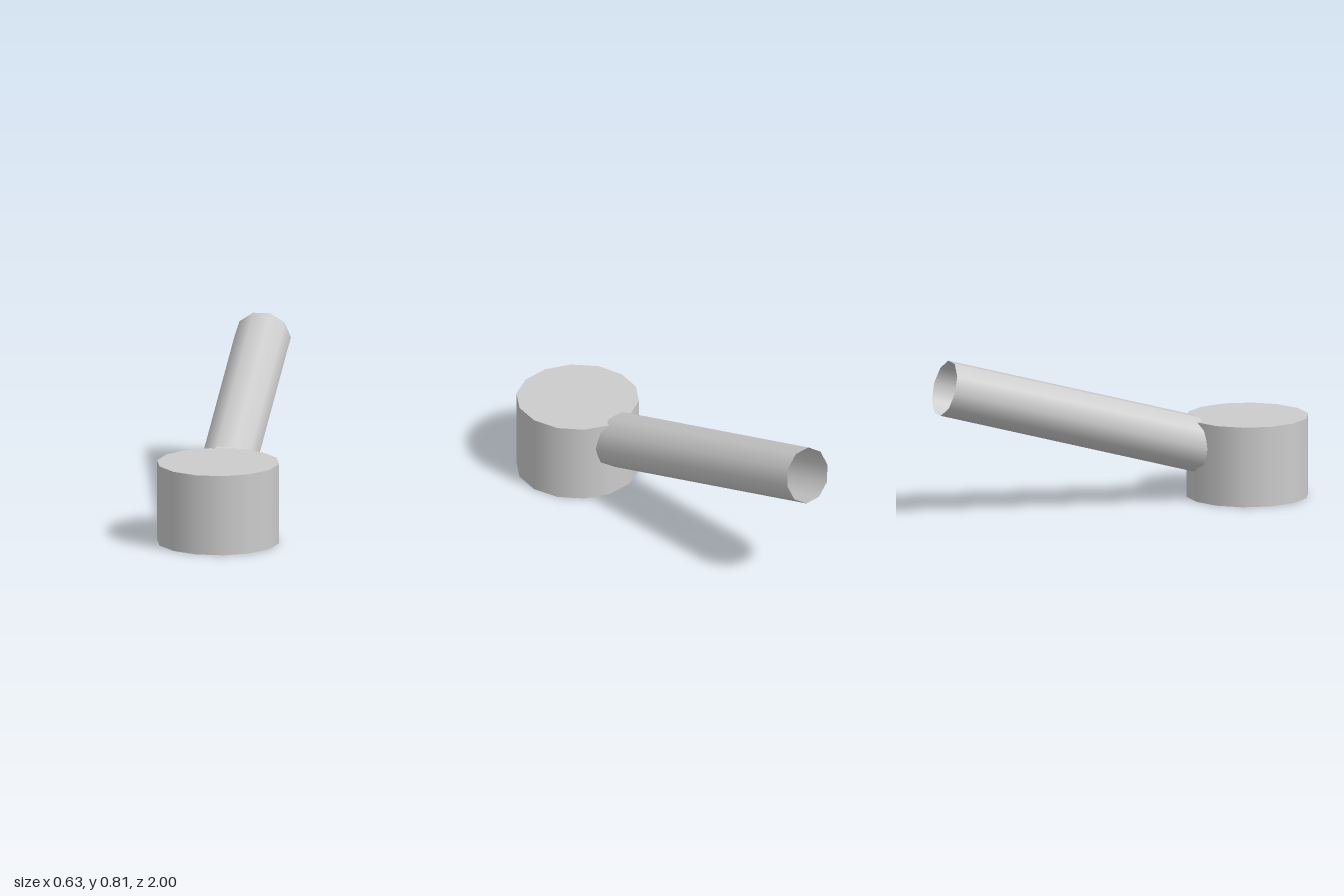
import * as THREE from 'three';

export function createModel() {
  const group = new THREE.Group();
  const grey = new THREE.MeshStandardMaterial({ color: 0xcccccc });
  grey.name = 'lightGrey';
  grey.side = THREE.DoubleSide;

  // Closed drum, 14 sides, with corners on the x axis
  const height = 0.413;
  const potGeometry = new THREE.CylinderGeometry(0.313, 0.313, height, 14, 1, false, Math.PI / 2);
  potGeometry.translate(0, height / 2, 0.695);
  const pot = new THREE.Mesh(potGeometry, grey);
  pot.name = 'pot';
  group.add(pot);

  // Open ten-sided tube rising to the back
  const tilt = THREE.MathUtils.degToRad(16);
  const length = 1.4;
  const handleGeometry = new THREE.CylinderGeometry(0.144, 0.144, length, 10, 1, true, Math.PI / 2);
  handleGeometry.translate(0, -length / 2, 0);
  handleGeometry.rotateX(tilt - Math.PI / 2);
  handleGeometry.translate(0, 0.681, -0.96);

  // Slide the near rim along the tube so it ends upright inside the pot
  const position = handleGeometry.attributes.position;
  const nearZ = 0.42;
  for (let i = 0; i < position.count; i++) {
    const z = position.getZ(i);
    if (z < 0) continue;
    position.setY(i, position.getY(i) - (nearZ - z) * Math.tan(tilt));
    position.setZ(i, nearZ);
  }
  const handle = new THREE.Mesh(handleGeometry, grey);
  handle.name = 'handle';
  group.add(handle);

  return group;
}
